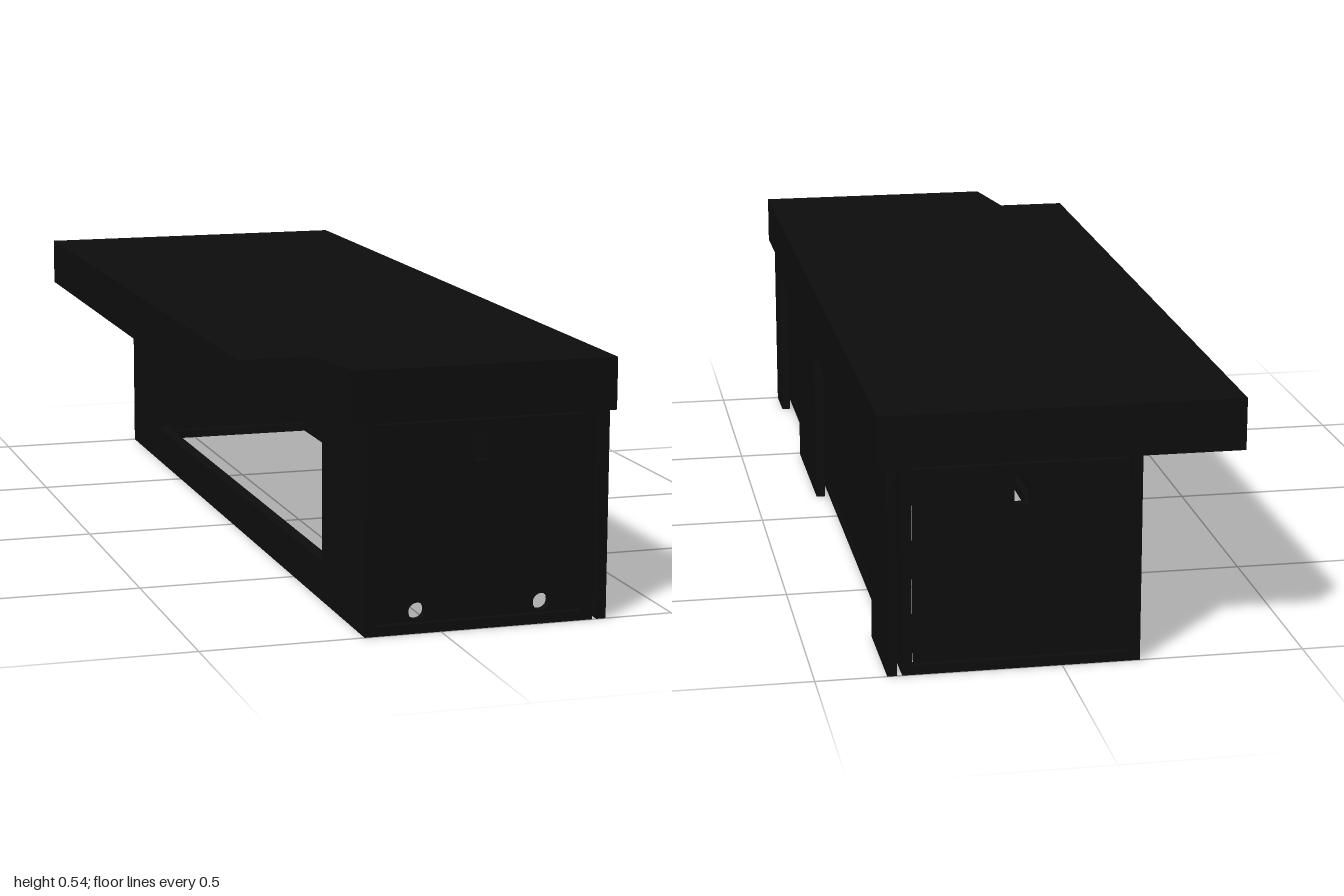
import * as THREE from 'three';

export function createModel() {
  const model = new THREE.Group();
  const black = new THREE.MeshStandardMaterial({ color: 0x0d0d0d });
  black.name = 'black laminate';

  const add = (name, geometry) => {
    const mesh = new THREE.Mesh(geometry, black);
    mesh.name = name;
    model.add(mesh);
    return mesh;
  };

  // box given by its limits on each axis
  const box = (name, x0, x1, y0, y1, z0, z1) => {
    const mesh = add(name, new THREE.BoxGeometry(x1 - x0, y1 - y0, z1 - z0));
    mesh.position.set((x0 + x1) / 2, (y0 + y1) / 2, (z0 + z1) / 2);
  };

  const rect = (Kind, u0, u1, v0, v1) => new Kind([
    new THREE.Vector2(u0, v0), new THREE.Vector2(u1, v0),
    new THREE.Vector2(u1, v1), new THREE.Vector2(u0, v1),
  ]);

  // flat panel with cut-outs, standing in the xy plane
  const panel = (u0, u1, v0, v1, holes, depth) => {
    const shape = rect(THREE.Shape, u0, u1, v0, v1);
    shape.holes.push(...holes);
    return new THREE.ExtrudeGeometry(shape, { depth, bevelEnabled: false, curveSegments: 16 });
  };

  const roundHole = (u, v, r) => {
    const path = new THREE.Path();
    path.absarc(u, v, r, 0, Math.PI * 2, true);
    return path;
  };

  const H = 0.432, T = 0.02;

  // counter top with one front corner cut away
  const outline = [[-0.37, 1], [-0.37, -0.82], [-0.215, -0.82], [-0.185, -1], [0.37, -1], [0.37, 1]];
  const top = new THREE.Shape(outline.map(([x, y]) => new THREE.Vector2(x, y)));
  const topGeometry = new THREE.ExtrudeGeometry(top, { depth: 0.54 - H, bevelEnabled: false });
  topGeometry.rotateX(-Math.PI / 2);
  add('counterTop', topGeometry).position.y = H;

  // end doors with a finger slot; the front one also has cable holes
  for (const s of [1, -1]) {
    const holes = [rect(THREE.Path, 0.067, 0.099, 0.345, 0.4)];
    if (s > 0) holes.push(roundHole(-0.05, 0.045, 0.018), roundHole(0.215, 0.045, 0.018));
    const door = add(s > 0 ? 'frontDoor' : 'backDoor', panel(-0.135, 0.301, 0.024, 0.428, holes, T));
    door.position.z = s > 0 ? 1 - T - 0.003 : -1 + 0.003;
    const z0 = s > 0 ? 1 - T : -1;
    box(s > 0 ? 'frontSill' : 'backSill', -0.16, 0.325, 0, 0.02, z0, z0 + T);
  }

  // short walls that leave the staff side open between them
  box('frontStaffWall', -0.16, -0.139, 0, H, 0.707, 1);
  box('backStaffWall', -0.16, -0.139, 0, H, -1, -0.73);

  // low rail across the open side
  box('footRail', -0.16, -0.133, 0, 0.085, -0.98, 0.98);
  box('footRailLip', -0.134, -0.118, 0, 0.025, -0.98, 0.98);

  // customer side: carcass with two openings (u runs along -z)
  const openings = [[0.49, 0.89], [-0.78, 0.15]];
  const carcass = add('customerCarcass', panel(-1, 1, 0, H,
    openings.map(([a, b]) => rect(THREE.Path, -b, -a, 0.02, 0.352)), T));
  carcass.rotation.y = Math.PI / 2;
  carcass.position.x = 0.305;

  // doors in those openings, each with a finger slot
  for (const [a, b] of openings) {
    const g = 0.004, m = -(a + b) / 2;
    const slot = rect(THREE.Path, m - 0.016, m + 0.016, 0.275, 0.335);
    const door = add('customerDoor', panel(-b + g, -a - g, 0.024, 0.348, [slot], T));
    door.rotation.y = Math.PI / 2;
    door.position.x = 0.304;
  }

  // cladding standing off from the carcass
  for (const [a, b] of [[0.89, 1], [0.372, 0.49], [0.15, 0.368], [-1, -0.78]])
    box('claddingPost', 0.335, 0.355, 0, 0.352, a, b);
  box('claddingHeader', 0.335, 0.355, 0.352, H, -1, 1);

  return model;
}
